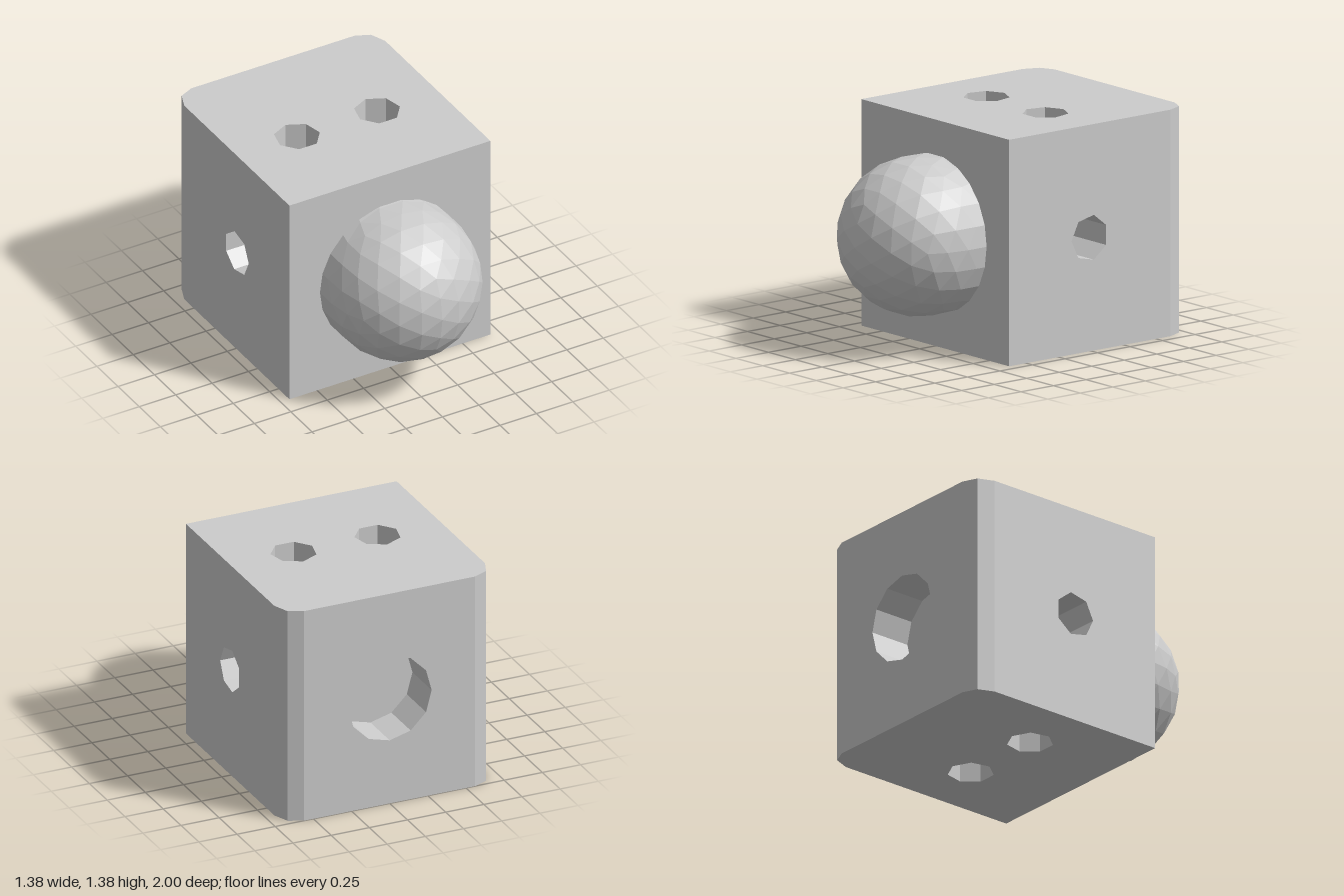
import * as THREE from 'three';

const W = 0.69, H = 1.38, FRONT = 0.38, MID = H / 2;
const BORE_R = 0.14, BORE_X = 0.275, BORE_Z = -0.24;
const RECESS_R = 0.275, RECESS_DEPTH = 0.27;

const solid = new THREE.MeshStandardMaterial({ color: 0xcccccc, flatShading: true });
const open = new THREE.MeshStandardMaterial({ color: 0xcccccc, flatShading: true, side: THREE.DoubleSide });

function add(parent, name, geometry, material = solid) {
  const mesh = new THREE.Mesh(geometry, material);
  mesh.name = name;
  parent.add(mesh);
  return mesh;
}

// regular polygon with one corner at angle tip
function ring(cx, cy, r, n, tip) {
  return Array.from({ length: n }, (_, i) => {
    const a = tip + (i * 2 * Math.PI) / n;
    return new THREE.Vector2(cx + r * Math.cos(a), cy + r * Math.sin(a));
  });
}

function panel(points, holes) {
  const shape = new THREE.Shape(points);
  holes.forEach(h => shape.holes.push(new THREE.Path(h)));
  return new THREE.ShapeGeometry(shape);
}

// half-width of a unit heptagon, u measured toward its tip
const hept = [0, 1, 2, 3].map(k => [Math.cos(k * 2 * Math.PI / 7), Math.sin(k * 2 * Math.PI / 7)]);
function halfWidth(u) {
  for (let i = 0; i < 3; i++) {
    const [u0, w0] = hept[i], [u1, w1] = hept[i + 1];
    if (u <= u0 && u >= u1) return w0 + (w1 - w0) * (u0 - u) / (u0 - u1);
  }
  return 0;
}

// walls of the crossing bores, trimmed where they meet
function boreGeometry() {
  const levels = hept.flatMap(([u]) => [u, -u]);
  const flat = -hept[3][0] + 1e-5;
  levels.push(flat, -flat);
  levels.sort((a, b) => a - b);
  const rows = levels.map(t => ({
    z: BORE_Z + BORE_R * t,
    v: BORE_R * halfWidth(-t), // vertical bores point back
    s: BORE_R * halfWidth(t),  // side bore points forward
  }));
  const pos = [];
  const quad = (a, b, c, d) => pos.push(...a, ...b, ...c, ...a, ...c, ...d);
  for (let i = 0; i + 1 < rows.length; i++) {
    const p = rows[i], q = rows[i + 1];
    for (const e of [-1, 1]) for (const f of [-1, 1]) {
      // vertical bores, both edges (f), above and below the side bore
      if (p.v + q.v > 0) for (const g of [-1, 1]) {
        const pt = (r, end) => [e * BORE_X + f * r.v, MID + g * (end ? MID : r.s), r.z];
        quad(pt(p, 0), pt(p, 1), pt(q, 1), pt(q, 0));
      }
      // side bore: outer length, then inner length to the centre
      if (p.s + q.s > 0) for (const [g, x] of [[1, W], [-1, 0]]) {
        const pt = (r, end) => [e * (end ? x : BORE_X + g * r.v), MID + f * r.s, r.z];
        quad(pt(p, 0), pt(p, 1), pt(q, 1), pt(q, 0));
      }
    }
  }
  const geo = new THREE.BufferGeometry();
  geo.setAttribute('position', new THREE.Float32BufferAttribute(pos, 3));
  geo.computeVertexNormals();
  return geo;
}

export function createModel() {
  const model = new THREE.Group();
  model.name = 'boredBlock';
  const block = new THREE.Group();
  block.name = 'block';
  model.add(block);

  // outline from above (x, z), rear corners bevelled
  const outline = [
    [-W, FRONT], [W, FRONT], [W, -0.86], [0.65, -0.96], [0.56, -1],
    [-0.56, -1], [-0.65, -0.96], [-W, -0.86],
  ];

  // top and bottom, each with two bore openings
  for (const s of [1, -1]) {
    const holes = [-1, 1].map(e => ring(e * BORE_X, -s * BORE_Z, BORE_R, 7, s * Math.PI / 2));
    const cap = add(block, s > 0 ? 'topFace' : 'bottomFace',
      panel(outline.map(([x, z]) => new THREE.Vector2(x, -s * z)), holes));
    cap.rotation.x = -s * Math.PI / 2;
    cap.position.y = s > 0 ? H : 0;
  }

  // side walls following the outline
  const names = ['frontFace', 'rightFace', 'bevel', 'bevel', 'backFace', 'bevel', 'bevel', 'leftFace'];
  outline.forEach(([x, z], i) => {
    const [x2, z2] = outline[(i + 1) % outline.length];
    const len = Math.hypot(x2 - x, z2 - z);
    const holes = [];
    if (i === 1) holes.push(ring(FRONT - BORE_Z, MID, BORE_R, 7, Math.PI));
    if (i === 7) holes.push(ring(BORE_Z - z, MID, BORE_R, 7, 0));
    if (i === 4) holes.push(ring(len / 2, MID, RECESS_R, 12, 0));
    const corners = [[0, 0], [len, 0], [len, H], [0, H]].map(c => new THREE.Vector2(...c));
    const wall = add(block, names[i], panel(corners, holes));
    wall.position.set(x, 0, z);
    wall.rotation.y = Math.atan2(-(z2 - z), x2 - x);
  });

  add(block, 'bores', boreGeometry(), open);

  // blind round recess in the back
  const wall = new THREE.CylinderGeometry(RECESS_R, RECESS_R, RECESS_DEPTH, 12, 1, true);
  wall.rotateY(Math.PI / 2).rotateX(Math.PI / 2);
  add(block, 'recessWall', wall, open).position.set(0, MID, -1 + RECESS_DEPTH / 2);
  const floor = add(block, 'recessFloor', new THREE.CircleGeometry(RECESS_R, 12));
  floor.position.set(0, MID, -1 + RECESS_DEPTH);
  floor.rotation.y = Math.PI;

  // faceted ball, its rear half straightened where it enters the block
  const R = 0.48;
  const ball = new THREE.IcosahedronGeometry(R, 3);
  const p = ball.attributes.position;
  for (let i = 0; i < p.count; i++) {
    const z = p.getZ(i), r = Math.hypot(p.getX(i), p.getY(i));
    if (z < 0 && z > -0.32) p.setXYZ(i, p.getX(i) * R / r, p.getY(i) * R / r, z);
  }
  ball.computeVertexNormals();
  add(model, 'ball', ball).position.set(0, MID, 0.52);

  return model;
}
